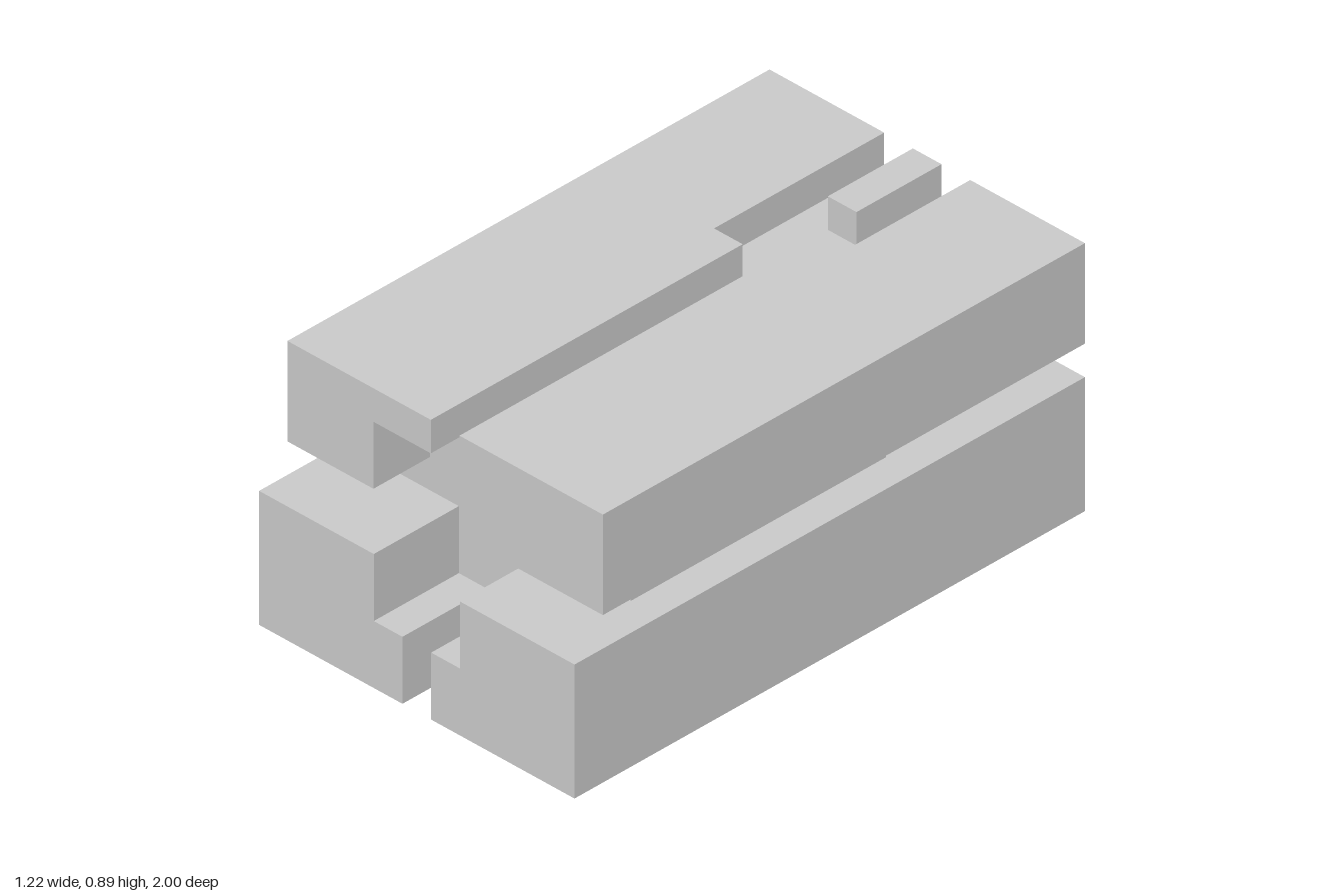
import * as THREE from 'three';

const U = 1 / 9; // grid unit
const material = new THREE.MeshStandardMaterial({ color: 0xcccccc, flatShading: true });

// Extrude a floor plan of [x, z] corners from y0 to y1
function plan(points, y0, y1) {
  const shape = new THREE.Shape(points.map(([x, z]) => new THREE.Vector2(x, -z)));
  const g = new THREE.ExtrudeGeometry(shape, { depth: y1 - y0, bevelEnabled: false });
  return g.rotateX(-Math.PI / 2).translate(0, y0, 0);
}

function add(group, name, geometry) {
  const mesh = new THREE.Mesh(geometry.scale(U, U, U), material);
  mesh.name = name;
  group.add(mesh);
}

// Rectangle and stepped plans
const rect = (x0, x1, z0, z1) => [[x0, z0], [x1, z0], [x1, z1], [x0, z1]];
const stepped = (front, back) => [
  [-front, 6], [front, 6], [front, -3], [back, -3], [back, -8],
  [-back, -8], [-back, -3], [-front, -3],
];

export function createModel() {
  const model = new THREE.Group();
  model.name = 'interlockingBlocks';

  for (const [side, s] of [['left', 1], ['right', -1]]) {
    const half = (points) => points.map(([x, z]) => [x * s, z]);

    // Lower block: underside with a hooked groove, body, front lip
    const lower = new THREE.Group();
    lower.name = side + 'LowerBlock';
    add(lower, 'groovedBase', plan(half([
      [0.5, 9], [5.5, 9], [5.5, -9], [1.5, -9], [1.5, -1], [2.5, -1], [2.5, 0],
      [3.5, 0], [3.5, 5], [2.5, 5], [2.5, 1], [1.5, 1], [1.5, 0], [0.5, 0],
    ]), 0, 1));
    add(lower, 'lowerBody', plan(half(rect(1.5, 5.5, -9, 9)), 1, 4));
    add(lower, 'frontLip', plan(half(rect(0.5, 1.5, 6, 9)), 1, 2));
    model.add(lower);

    // Upper block: body and overhanging top
    const upper = new THREE.Group();
    upper.name = side + 'UpperBlock';
    add(upper, 'upperBody', plan(half([
      [2.5, 8], [5.5, 8], [5.5, -9], [1.5, -9], [1.5, -3], [2.5, -3],
    ]), 5, 7));
    add(upper, 'overhangingTop', plan(half([
      [0.5, 8], [5.5, 8], [5.5, -9], [1.5, -9], [1.5, -3], [0.5, -3],
    ]), 7, 8));
    model.add(upper);
  }

  // Core held between the blocks
  const core = new THREE.Group();
  core.name = 'core';
  add(core, 'coreStem', plan(rect(-1.5, 1.5, -8, 6), 1, 4));
  add(core, 'coreSlab', plan(stepped(4.5, 3.5), 4, 5));
  add(core, 'coreTop', plan(stepped(2.5, 1.5), 5, 7));
  model.add(core);

  // C-shaped fin wrapping the back of the core, drawn in [z, y]
  const finShape = new THREE.Shape([
    [-9, 0], [-1, 0], [-1, 1], [-8, 1], [-8, 7], [-6, 7], [-6, 8], [-9, 8],
  ].map(([z, y]) => new THREE.Vector2(z, y)));
  const fin = new THREE.ExtrudeGeometry(finShape, { depth: 1, bevelEnabled: false });
  add(model, 'backFin', fin.rotateY(-Math.PI / 2).translate(0.5, 0, 0));

  return model;
}
